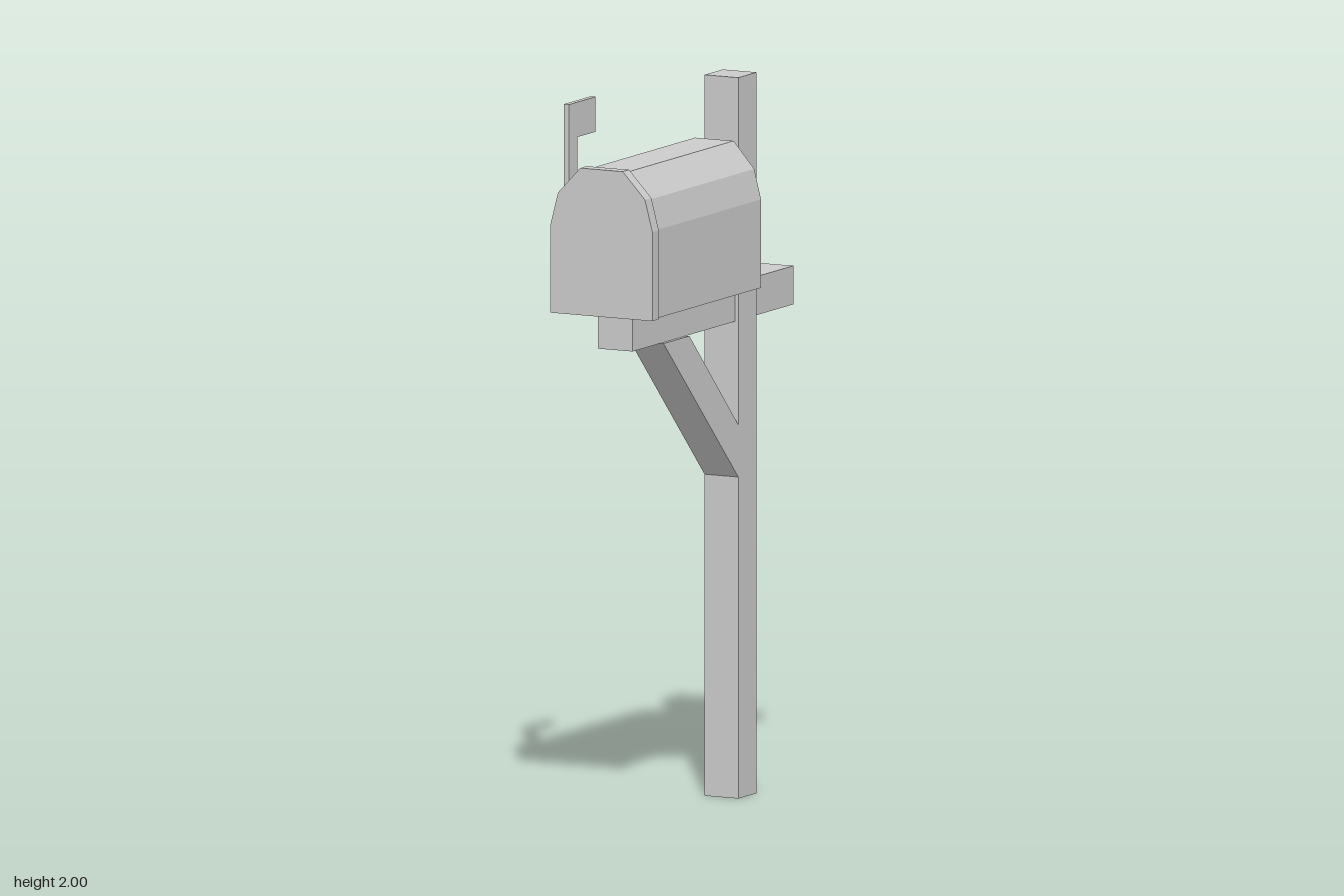
import * as THREE from 'three';

const material = new THREE.MeshStandardMaterial({ color: 0xcccccc, flatShading: true });

function add(group, name, geometry) {
  const mesh = new THREE.Mesh(geometry, material);
  mesh.name = name;
  group.add(mesh);
}

// Box given by its limits on each axis
function box([x0, x1], [y0, y1], [z0, z1]) {
  return new THREE.BoxGeometry(x1 - x0, y1 - y0, z1 - z0)
    .translate((x0 + x1) / 2, (y0 + y1) / 2, (z0 + z1) / 2);
}

function extrude(points, depth) {
  const shape = new THREE.Shape(points.map(([a, b]) => new THREE.Vector2(a, b)));
  return new THREE.ExtrudeGeometry(shape, { depth, bevelEnabled: false });
}

// Outline in (z, y), extruded from x0 to x1
function sidePlate(points, x0, x1) {
  return extrude(points, x1 - x0).rotateY(-Math.PI / 2).translate(x1, 0, 0);
}

// Arched outline from its right half, mirrored, extruded from z0 to z1
function arch(half, z0, z1) {
  const mirrored = half.map(([x, y]) => [-x, y]).reverse();
  return extrude([...half, ...mirrored], z1 - z0).translate(0, 0, z0);
}

export function createModel() {
  const group = new THREE.Group();
  group.name = 'mailbox';

  // Wooden support
  add(group, 'post', box([-0.053, 0.052], [0, 2], [-0.285, -0.179]));
  add(group, 'crossBeam', box([-0.065, 0.042], [1.323, 1.43], [-0.517, 0.417]));
  add(group, 'brace', sidePlate(
    [[-0.179, 0.892], [0.255, 1.323], [0.105, 1.323], [-0.179, 1.037]], -0.053, 0.052));

  // Arched box and its slightly larger door
  add(group, 'boxBody', arch(
    [[0.145, 1.43], [0.145, 1.675], [0.124, 1.758], [0.06, 1.831]], -0.137, 0.477));
  add(group, 'door', arch(
    [[0.158, 1.43], [0.158, 1.677], [0.135, 1.765], [0.066, 1.838]], 0.481, 0.518));

  // Raised signal flag on the right side
  add(group, 'flag', sidePlate(
    [[0.437, 1.59], [0.437, 1.997], [0.283, 1.997], [0.283, 1.9], [0.388, 1.9], [0.388, 1.59]],
    -0.16, -0.144));

  return group;
}
